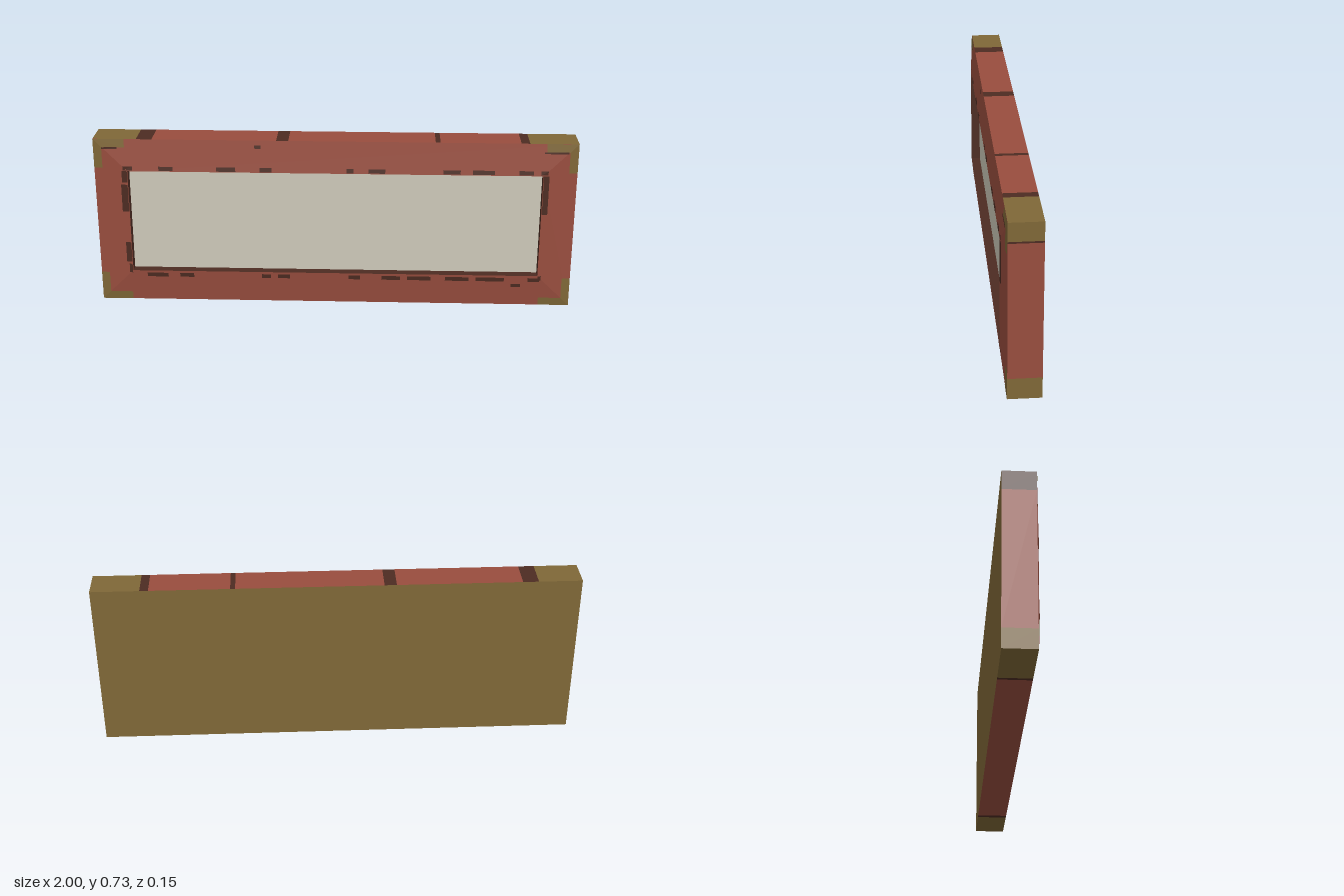
import * as THREE from 'three';
import { mergeGeometries } from 'three/addons/utils/BufferGeometryUtils.js';

const W = 1, H = 0.725, BACK = -0.073, EDGE = 0.057, RIM = 0.073, PANEL = 0.033;
const IX = 0.86, Y0 = 0.14, Y1 = 0.59;

const material = (name, color) => {
  const m = new THREE.MeshStandardMaterial({ color });
  m.name = name;
  return m;
};

// four-cornered face, corners counter-clockwise seen from outside
function quad(a, b, c, d) {
  const g = new THREE.BufferGeometry();
  g.setAttribute('position', new THREE.Float32BufferAttribute([a, b, c, a, c, d].flat(), 3));
  g.computeVertexNormals();
  return g;
}

export function createModel() {
  const group = new THREE.Group();
  const red = material('red paint', 0x984d3e);
  const gold = material('olive gold', 0x7f6737);
  const brown = material('dark brown', 0x4d2c22);
  const cream = material('cream', 0xcdc9b9);

  const add = (name, geos, mat) => {
    const mesh = new THREE.Mesh(mergeGeometries(geos), mat);
    mesh.name = name;
    group.add(mesh);
  };

  // outer edge faces, divided into coloured bands
  const topBand = (a, b) => quad([a, H, EDGE], [b, H, EDGE], [b, H, BACK], [a, H, BACK]);
  const bottomBand = (a, b) => quad([a, 0, BACK], [b, 0, BACK], [b, 0, EDGE], [a, 0, EDGE]);
  const rightBand = (a, b) => quad([W, a, EDGE], [W, a, BACK], [W, b, BACK], [W, b, EDGE]);
  const leftBand = (a, b) => quad([-W, a, BACK], [-W, a, EDGE], [-W, b, EDGE], [-W, b, BACK]);
  const bands = (name, make, stops, mats) => mats.forEach((mat, i) =>
    add(name + 'Band' + (i + 1), [make(stops[i], stops[i + 1])], mat));

  bands('topEdge', topBand, [-1, -0.82, -0.755, -0.24, -0.19, 0.415, 0.435, 0.765, 0.8, 1],
    [gold, brown, red, brown, red, brown, red, brown, gold]);
  bands('bottomEdge', bottomBand, [-1, -0.76, -0.745, 0.765, 0.79, 1], [gold, brown, red, brown, gold]);
  bands('plusXEdge', rightBand, [0, 0.088, 0.643, 0.65, H], [gold, red, brown, gold]);
  bands('minusXEdge', leftBand, [0, 0.08, 0.645, H], [gold, red, brown]);

  // back board
  add('back', [quad([W, 0, BACK], [-W, 0, BACK], [-W, H, BACK], [W, H, BACK])], gold);

  // sloping frame face and the walls of its recess
  const ring = (x, y0, y1, z) => [[-x, y0, z], [x, y0, z], [x, y1, z], [-x, y1, z]];
  const loft = (outer, inner) => outer.map((p, i) => {
    const j = (i + 1) % 4;
    return quad(p, outer[j], inner[j], inner[i]);
  });
  const rim = ring(IX, Y0, Y1, RIM), floor = ring(IX, Y0, Y1, PANEL);
  add('frameFace', loft(ring(W, 0, H, EDGE), rim), red);
  add('recessWalls', loft(rim, floor), brown);
  add('panel', [quad(...floor)], cream);

  // thin painted patch lying on the sloping frame face
  const onFrame = (x, y) => {
    const t = Math.min((W - Math.abs(x)) / (W - IX), y / Y0, (H - y) / (H - Y1));
    return [x, y, EDGE + (RIM - EDGE) * Math.min(t, 1) + 0.0012];
  };
  const patch = pts => quad(...pts.map(([x, y]) => onFrame(x, y)));
  const rect = (x0, x1, y0, y1) => patch([[x0, y0], [x1, y0], [x1, y1], [x0, y1]]);

  // mitred gold corner trims
  const corners = [];
  for (const sx of [-1, 1]) for (const top of [false, true]) {
    const place = ([x, y]) => [sx * x, top ? H - y : y];
    const arms = [
      [[1, 0], [0.965, 0.035], [0.87, 0.035], [0.87, 0]],
      [[1, 0], [1, 0.125], [0.965, 0.125], [0.965, 0.035]],
    ];
    for (const arm of arms) {
      const pts = arm.map(place);
      // keep corners counter-clockwise after mirroring
      const area = pts.reduce((s, p, i) => {
        const q = pts[(i + 1) % 4];
        return s + p[0] * q[1] - q[0] * p[1];
      }, 0);
      corners.push(patch(area < 0 ? pts.reverse() : pts));
    }
  }
  add('cornerTrims', corners, gold);

  // worn dark spots around the opening
  const topSpots = [[-0.88, -0.84], [-0.73, -0.67], [-0.49, -0.41], [-0.31, -0.26], [0.05, 0.08],
    [0.14, 0.21], [0.45, 0.52], [0.57, 0.66], [0.76, 0.82], [0.85, 0.88]];
  const bottomSpots = [[-0.8, -0.71], [-0.66, -0.6], [-0.31, -0.27], [-0.24, -0.19], [0.06, 0.11],
    [0.2, 0.28], [0.31, 0.41], [0.47, 0.57], [0.6, 0.72], [0.82, 0.87]];
  add('wornSpots', [
    ...topSpots.map(([a, b]) => rect(a, b, 0.593, 0.611)),
    ...bottomSpots.map(([a, b]) => rect(a, b, 0.112, 0.13)),
    rect(-0.885, -0.862, 0.54, 0.59), rect(-0.89, -0.862, 0.41, 0.53),
    rect(-0.885, -0.862, 0.18, 0.27), rect(-0.875, -0.862, 0.13, 0.17),
    rect(0.862, 0.885, 0.42, 0.59), rect(0.862, 0.875, 0.12, 0.14),
    rect(-0.965, -0.9, 0.683, 0.691), rect(0.86, 0.96, 0.683, 0.691),
    rect(-0.33, -0.305, 0.69, 0.705), rect(0.75, 0.79, 0.085, 0.1),
  ], brown);

  return group;
}
